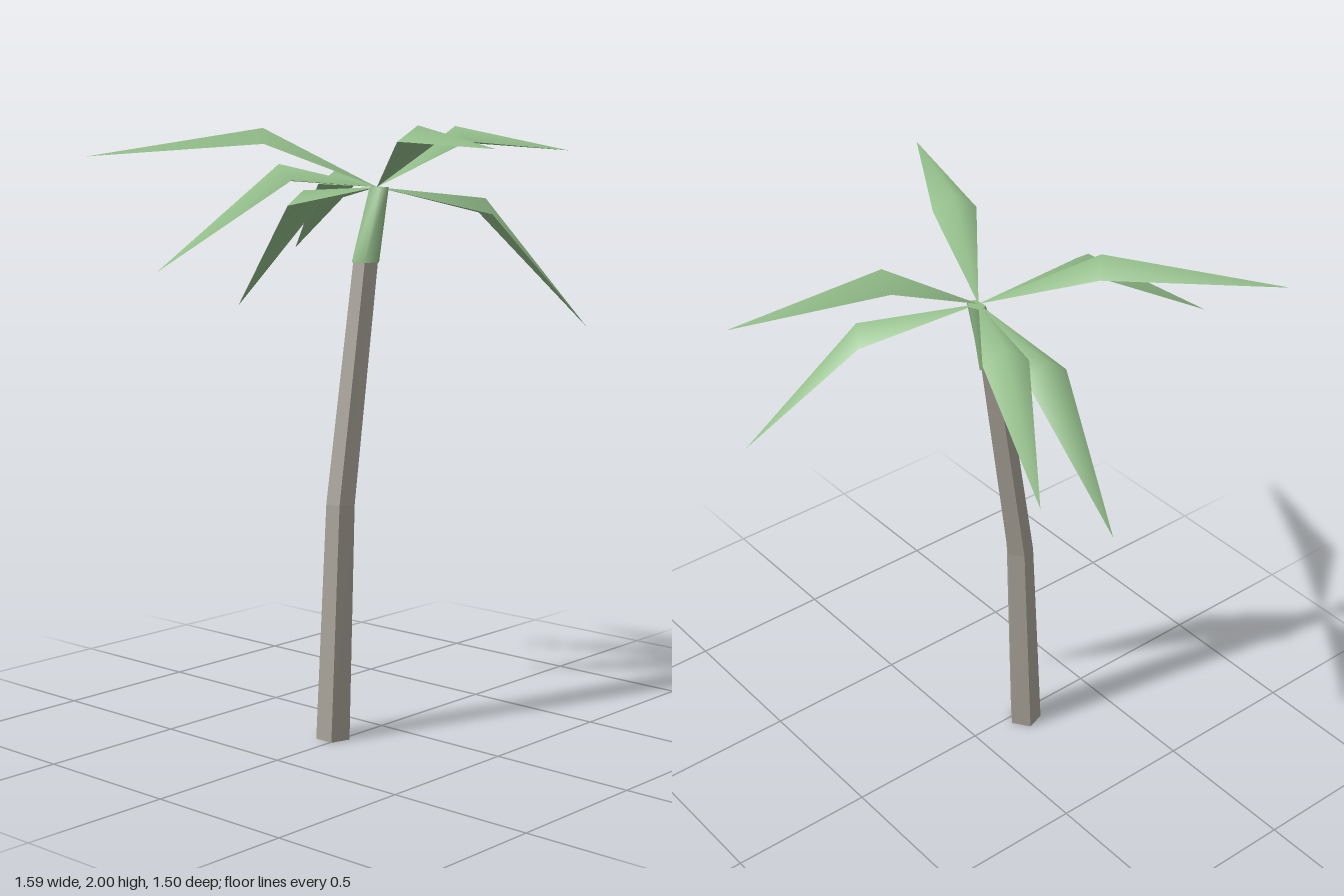
import * as THREE from 'three';

const SIDES = 5;
const V = (x, y, z) => new THREE.Vector3(x, y, z);

function geometryFrom(points, index) {
  const g = new THREE.BufferGeometry().setFromPoints(points);
  g.setIndex(index);
  g.computeVertexNormals();
  return g;
}

// Five-sided tube through horizontal rings [x, y, z, radiusX, radiusZ], capped at both ends
function loft(rings) {
  const points = [], index = [];
  const addRing = ([x, y, z, rx, rz]) => {
    const start = points.length;
    for (let i = 0; i < SIDES; i++) {
      const a = (i / SIDES) * Math.PI * 2;
      points.push(V(x + Math.cos(a) * rx, y, z + Math.sin(a) * rz));
    }
    return start;
  };
  const starts = rings.map(addRing);
  for (let r = 0; r + 1 < rings.length; r++) {
    for (let i = 0; i < SIDES; i++) {
      const j = (i + 1) % SIDES, lo = starts[r], up = starts[r + 1];
      index.push(lo + i, up + i, lo + j, up + i, up + j, lo + j);
    }
  }
  const bottom = addRing(rings[0]), top = addRing(rings[rings.length - 1]);
  for (let i = 1; i + 1 < SIDES; i++) {
    index.push(bottom, bottom + i, bottom + i + 1, top, top + i + 1, top + i);
  }
  return geometryFrom(points, index);
}

// Folded leaf: root, raised ridge point, two lower side points and a pointed tip
function frond(root, ridge, tip) {
  const side = V(tip.z - root.z, 0, root.x - tip.x).setLength(0.07);
  const drop = V(0, -0.05, 0);
  const left = ridge.clone().add(side).add(drop);
  const right = ridge.clone().sub(side).add(drop);
  return geometryFrom([root, left, ridge, right, tip],
    [0, 1, 2, 0, 2, 3, 4, 2, 1, 4, 3, 2]);
}

export function createModel() {
  const model = new THREE.Group();
  const bark = new THREE.MeshStandardMaterial({ color: 0xa8a298, flatShading: true });
  const green = new THREE.MeshStandardMaterial({ color: 0x93bd8a });
  const leaf = new THREE.MeshStandardMaterial({ color: 0x93bd8a, side: THREE.DoubleSide });
  const add = (name, geometry, material, parent = model) => {
    const mesh = new THREE.Mesh(geometry, material);
    mesh.name = name;
    parent.add(mesh);
  };

  // Bent trunk
  add('trunk', loft([
    [-0.205, 0, -0.03, 0.058, 0.058],
    [-0.166, 0.78, -0.03, 0.047, 0.05],
    [-0.042, 1.57, -0.03, 0.041, 0.043],
  ]), bark);

  // Green sleeve below the leaves
  add('crownSleeve', loft([
    [-0.043, 1.56, -0.03, 0.048, 0.046],
    [0.02, 1.8, -0.03, 0.025, 0.038],
  ]), green);

  // Crown of leaves: ridge point and tip of each
  const fronds = new THREE.Group();
  fronds.name = 'fronds';
  model.add(fronds);
  const root = V(0.01, 1.8, -0.03);
  [
    [V(-0.135, 2.0, 0.27), V(-0.35, 1.935, 0.75)],
    [V(-0.36, 1.88, -0.11), V(-0.8, 1.56, -0.2)],
    [V(-0.255, 1.99, -0.285), V(-0.67, 1.9, -0.67)],
    [V(0.04, 1.78, -0.39), V(0.08, 1.365, -0.75)],
    [V(0.16, 1.85, -0.345), V(0.33, 1.56, -0.71)],
    [V(0.315, 1.995, 0.045), V(0.79, 1.91, 0.16)],
    [V(0.33, 1.76, 0.165), V(0.635, 1.325, 0.36)],
  ].forEach(([ridge, tip], i) => add(`frond${i + 1}`, frond(root, ridge, tip), leaf, fronds));

  return model;
}
